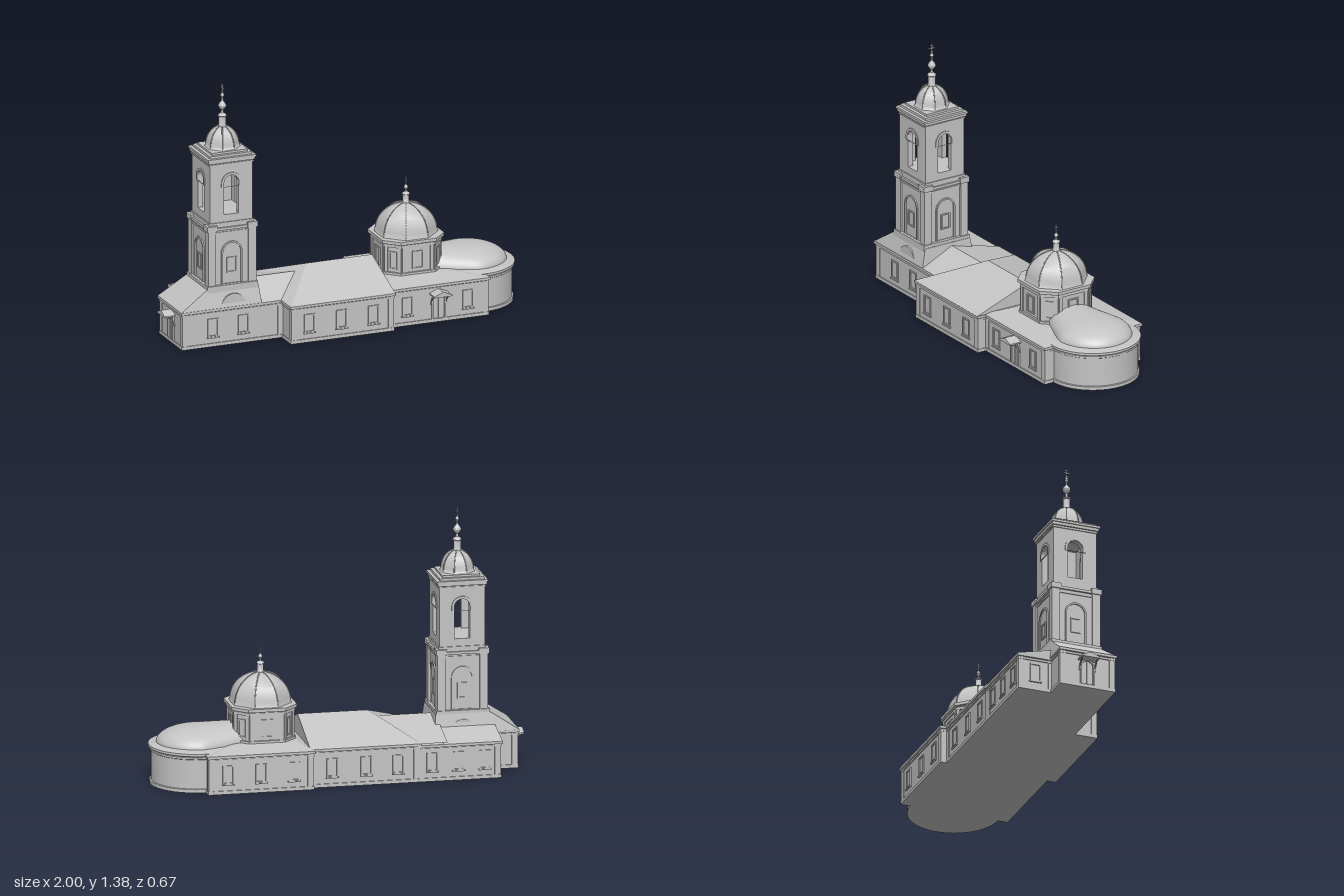
import * as THREE from 'three';
import { toCreasedNormals } from 'three/addons/utils/BufferGeometryUtils.js';
import { ConvexGeometry } from 'three/addons/geometries/ConvexGeometry.js';

export function createModel() {
  const model = new THREE.Group();
  const stone = new THREE.MeshStandardMaterial({ color: 0xc4c4c4 });
  stone.name = 'pale stone';
  stone.side = THREE.DoubleSide;

  const add = (name, geo, parent = model, x = 0, y = 0, z = 0) => {
    const m = new THREE.Mesh(geo, stone);
    m.name = name;
    m.position.set(x, y, z);
    parent.add(m);
    return m;
  };
  const box = (name, x0, x1, y0, y1, z0, z1, parent = model) =>
    add(name, new THREE.BoxGeometry(x1 - x0, y1 - y0, z1 - z0), parent, (x0 + x1) / 2, (y0 + y1) / 2, (z0 + z1) / 2);
  const hull = (name, pts, parent = model) =>
    add(name, new ConvexGeometry(pts.map(p => new THREE.Vector3(...p))), parent);
  const rect = (x0, x1, y, z0, z1) => [[x0, y, z0], [x1, y, z0], [x1, y, z1], [x0, y, z1]];
  const lathe = (name, pts, seg, parent, x, y, z, crease = 0.6) => {
    const g = new THREE.LatheGeometry(pts.map(p => new THREE.Vector2(...p)), seg, Math.PI / seg);
    return add(name, toCreasedNormals(g, crease), parent, x, y, z);
  };
  // Rectangle with an optional round head
  const archPath = (P, w, y0, y1, round) => {
    const p = new P();
    p.moveTo(-w, y0); p.lineTo(w, y0);
    if (round) p.absarc(0, y1 - w, w, 0, Math.PI, false);
    else { p.lineTo(w, y1); p.lineTo(-w, y1); }
    p.closePath();
    return p;
  };
  const extrude = (s, depth) => new THREE.ExtrudeGeometry(s, { depth, bevelEnabled: false, curveSegments: 10 });
  // Raised frame with an opening, standing on the local +z face
  const frame = (name, w, y0, y1, t, d, round, parent) => {
    const s = archPath(THREE.Shape, w + t, y0 - (round ? 0 : t), y1 + t, round);
    s.holes.push(archPath(THREE.Path, w, y0 + (round ? 0.001 : 0), y1, round));
    return add(name, extrude(s, d), parent);
  };
  const spot = (x, z, angle, parent = model) => {
    const g = new THREE.Group();
    g.name = 'facade';
    g.position.set(x, 0, z);
    g.rotation.y = angle;
    parent.add(g);
    return g;
  };
  const windowAt = (x, z, angle) => {
    const g = spot(x, z, angle);
    frame('windowFrame', 0.023, 0.06, 0.145, 0.007, 0.006, false, g);
    box('windowSill', -0.034, 0.034, 0.046, 0.053, 0, 0.009, g);
  };

  // Walls with plinth, cornice and corner pilasters
  const block = (name, x0, x1, z0, z1, h = 0.2) => {
    const g = new THREE.Group();
    g.name = name;
    model.add(g);
    box('walls', x0, x1, 0, h, z0, z1, g);
    [[0, 0.018, 0.006], [h - 0.022, h - 0.012, 0.006], [h - 0.008, h + 0.006, 0.012]].forEach(([a, b, o]) =>
      box(a ? 'cornice' : 'plinth', x0 - o, x1 + o, a, b, z0 - o, z1 + o, g));
    for (const x of [x0, x1]) for (const z of [z0, z1]) {
      const sx = x === x0 ? 0.012 : -0.012, sz = z === z0 ? 0.012 : -0.012;
      const p = box('pilaster', -0.016, 0.016, 0, h, -0.016, 0.016, g);
      p.position.set(x + sx, h / 2, z + sz);
    }
  };
  block('narthex', -0.94, -0.38, -0.11, 0.188);
  block('sideChapel', -0.81, -0.38, -0.29, -0.1, 0.19);
  block('nave', -0.38, 0.19, -0.29, 0.312);
  block('mainChurch', 0.19, 0.74, -0.323, 0.263);

  // Roofs
  hull('narthexRoof', [...rect(-0.952, -0.5, 0.205, -0.122, 0.198), ...rect(-0.8, -0.51, 0.305, -0.105, 0.175)]);
  hull('sideChapelRoof', [...rect(-0.822, -0.51, 0.196, -0.302, -0.1), [-0.822, 0.24, -0.115], [-0.51, 0.24, -0.115]]);
  hull('linkRoof', [...rect(-0.53, -0.2, 0.205, -0.3, 0.198), [-0.53, 0.288, 0.01], [-0.2, 0.288, 0.01]]);
  hull('naveRoof', [...rect(-0.392, 0.198, 0.205, -0.302, 0.325), [-0.17, 0.322, 0.01], [0.198, 0.322, 0.01]]);
  hull('mainRoof', [...rect(0.18, 0.752, 0.205, -0.335, 0.275), ...rect(0.24, 0.58, 0.228, -0.2, 0.14)]);
  const lunette = new THREE.CylinderGeometry(0.07, 0.07, 0.306, 24, 1, false, -Math.PI / 2, Math.PI);
  lunette.rotateX(-Math.PI / 2);
  add('lunette', lunette, model, -0.655, 0.205, 0.04);

  // Apse
  const CZ = -0.03, AX = 0.745;
  lathe('apse', [[0, 0], [0.244, 0], [0.244, 0.018], [0.237, 0.02], [0.237, 0.175], [0.242, 0.178], [0.242, 0.188],
    [0.238, 0.19], [0.251, 0.196], [0.251, 0.209], [0.21, 0.22], [0, 0.225]], 40, model, AX, 0, CZ, 0.4);
  // Half-dome that narrows toward the drum
  const shell = new THREE.PlaneGeometry(1, 1, 24, 24);
  const sp = shell.attributes.position;
  for (let i = 0; i < sp.count; i++) {
    const u = sp.getX(i) + 0.5, a = (sp.getY(i) + 0.5) * Math.PI;
    const x = u < 0.4 ? 0.5 + u * 0.6 : 0.74 + 0.215 * Math.sin((u - 0.4) / 0.6 * Math.PI / 2);
    const t = Math.max(0, (x - 0.74) / 0.215);
    const round = Math.sqrt(Math.max(0, 1 - t * t));
    const w = (0.12 + 0.085 * Math.min(1, (x - 0.5) / 0.24)) * round;
    const h = (0.1 - 0.01 * Math.min(1, (x - 0.5) / 0.24)) * round;
    sp.setXYZ(i, x, 0.216 + h * Math.sin(a), CZ + w * Math.cos(a));
  }
  shell.computeVertexNormals();
  add('apseRoof', shell);

  // Chamfered drum and ribbed dome
  const DX = 0.405;
  const drumSlab = (name, h, c, y0, y1) => {
    const s = new THREE.Shape([[h, c], [c, h], [-c, h], [-h, c], [-h, -c], [-c, -h], [c, -h], [h, -c]]
      .map(p => new THREE.Vector2(...p)));
    const g = extrude(s, y1 - y0);
    g.rotateX(-Math.PI / 2);
    return add(name, g, model, DX, y0, CZ);
  };
  drumSlab('drumBase', 0.168, 0.097, 0.21, 0.24);
  drumSlab('drum', 0.157, 0.09, 0.21, 0.4);
  drumSlab('drumFrieze', 0.163, 0.094, 0.375, 0.39);
  drumSlab('drumCornice', 0.173, 0.1, 0.395, 0.412);
  for (let i = 0; i < 8; i++) {
    const a = i * Math.PI / 4, r = i % 2 ? 0.1747 : 0.157, edge = i % 2 ? 0.038 : 0.078;
    const g = spot(DX + r * Math.sin(a), CZ + r * Math.cos(a), a);
    frame('drumWindow', i % 2 ? 0.015 : 0.024, 0.262, 0.345, 0.007, 0.006, false, g);
    for (const s of [-1, 1]) box('drumPilaster', s * edge - 0.009, s * edge + 0.009, 0.24, 0.376, -0.01, 0.006, g);
  }
  const domeProfile = (r, h, flare) => {
    const k = 1 / Math.cos(Math.PI / 8), pts = [[(r + flare) * k, 0], [(r + flare * 0.3) * k, h * 0.06]];
    for (let i = 1; i <= 12; i++) {
      const a = i / 12 * Math.PI / 2;
      pts.push([Math.max(0, r * k * Math.cos(a)), h * (0.06 + 0.94 * Math.sin(a))]);
    }
    return pts;
  };
  const ribs = (r, h, x, y, z) => {
    for (let i = 0; i < 8; i++) {
      const a = Math.PI / 8 + i * Math.PI / 4;
      const pts = domeProfile(r, h, 0).slice(1).map(([q, v]) => new THREE.Vector3(q * Math.sin(a), v, q * Math.cos(a)));
      add('domeRib', new THREE.TubeGeometry(new THREE.CatmullRomCurve3(pts), 16, 0.003, 5), model, x, y, z);
    }
  };
  lathe('mainDome', domeProfile(0.148, 0.16, 0.006), 8, model, DX, 0.411, CZ);
  ribs(0.148, 0.16, DX, 0.411, CZ);

  // Neck, bulbs and cross
  const finial = (name, pts, x, y, z, top, s) => {
    lathe(name, pts, 16, model, x, y, z, 0.7);
    const t = 0.0025 * s;
    box('crossPost', x - t, x + t, top - 0.065 * s, top, z - t, z + t);
    box('crossArm', x - t, x + t, top - 0.027 * s, top - 0.021 * s, z - 0.018 * s, z + 0.018 * s);
    box('crossTopArm', x - t, x + t, top - 0.013 * s, top - 0.009 * s, z - 0.009 * s, z + 0.009 * s);
    box('crossFoot', x - t, x + t, top - 0.046 * s, top - 0.041 * s, z - 0.009 * s, z + 0.009 * s);
  };
  finial('mainFinial', [[0.024, -0.01], [0.02, 0.005], [0.017, 0.01], [0.017, 0.045], [0.021, 0.048], [0.019, 0.054],
    [0.006, 0.062], [0.005, 0.07], [0.012, 0.082], [0.009, 0.092], [0.003, 0.1], [0, 0.11]], DX, 0.567, CZ, 0.71, 0.7);

  // Bell tower
  const TX = -0.655, TZ = 0.037;
  const slab = (name, h, y0, y1) => box(name, TX - h, TX + h, y0, y1, TZ - h, TZ + h);
  slab('towerFoot', 0.142, 0.2, 0.322);
  slab('lowerTier', 0.125, 0.32, 0.63);
  slab('lowerFrieze', 0.13, 0.6, 0.61);
  slab('lowerCornice', 0.136, 0.62, 0.634);
  slab('upperFoot', 0.126, 0.634, 0.66);
  slab('belfryFloor', 0.115, 0.66, 0.7);
  slab('belfryCeiling', 0.115, 0.95, 0.985);
  slab('upperFrieze', 0.125, 0.972, 0.98);
  slab('upperCornice', 0.129, 0.985, 1.0);
  slab('upperCorniceEdge', 0.135, 1.0, 1.012);
  slab('domeStep', 0.118, 1.012, 1.025);
  slab('domeSeat', 0.1, 1.025, 1.036);
  for (const sx of [-1, 1]) for (const sz of [-1, 1]) {
    const x = TX + sx * 0.113, z = TZ + sz * 0.113;
    box('cornerPier', x - 0.022, x + 0.022, 0.32, 0.62, z - 0.022, z + 0.022);
    box('cornerCap', x - 0.028, x + 0.028, 0.618, 0.648, z - 0.028, z + 0.028);
  }
  for (let i = 0; i < 4; i++) {
    const g = spot(TX, TZ, i * Math.PI / 2);
    // Belfry wall with its arched opening
    const wall = new THREE.Shape([[-0.12, 0.65], [0.12, 0.65], [0.12, 0.99], [-0.12, 0.99]].map(p => new THREE.Vector2(...p)));
    wall.holes.push(archPath(THREE.Path, 0.041, 0.7, 0.912, true));
    add('belfryWall', extrude(wall, 0.03), g, 0, 0, 0.09);
    frame('belfryArch', 0.042, 0.85, 0.913, 0.014, 0.005, true, g).position.z = 0.12;
    // Blind arch and small window on the lower tier
    frame('blindArch', 0.05, 0.325, 0.545, 0.009, 0.007, true, g).position.z = 0.125;
    frame('towerWindow', 0.021, 0.39, 0.46, 0.007, 0.006, false, g).position.z = 0.125;
  }
  lathe('towerDome', domeProfile(0.08, 0.115, 0.009), 8, model, TX, 1.034, TZ);
  ribs(0.08, 0.115, TX, 1.034, TZ);
  finial('towerFinial', [[0.025, -0.008], [0.019, 0.006], [0.019, 0.05], [0.024, 0.054], [0.022, 0.06], [0.008, 0.07],
    [0.007, 0.085], [0.02, 0.102], [0.022, 0.11], [0.016, 0.122], [0.006, 0.135], [0.005, 0.152], [0.011, 0.163],
    [0.008, 0.172], [0, 0.185]], TX, 1.147, TZ, 1.375, 1);

  // Windows along the long walls and the west front
  const row = (xs, z, angle) => xs.forEach(x => windowAt(x, z, angle));
  row([-0.77, -0.6], 0.188, 0);
  row([-0.28, -0.1, 0.08], 0.312, 0);
  row([0.29, 0.63], 0.263, 0);
  row([-0.73, -0.59, -0.45, -0.27, -0.1, 0.08], -0.29, Math.PI);
  row([0.29, 0.465, 0.64], -0.323, Math.PI);
  windowAt(-0.81, -0.2, -Math.PI / 2);

  // Gabled door canopies on brackets
  const porch = (x, z, angle, d) => {
    const g = spot(x, z, angle);
    g.name = 'porch';
    frame('doorFrame', 0.032, 0.018, 0.15, 0.008, 0.008, true, g);
    box('doorSeam', -0.002, 0.002, 0.018, 0.145, 0, 0.005, g);
    hull('canopy', [...rect(-0.05, 0.05, 0.152, 0, d), ...rect(-0.05, 0.05, 0.159, 0, d), [0, 0.18, 0], [0, 0.18, d]], g);
    for (const s of [-0.042, 0.042]) {
      const b = new THREE.QuadraticBezierCurve3(new THREE.Vector3(s, 0.095, 0), new THREE.Vector3(s, 0.14, 0.008),
        new THREE.Vector3(s, 0.153, d * 0.85));
      add('bracket', new THREE.TubeGeometry(b, 10, 0.004, 6), g);
    }
  };
  porch(0.465, 0.263, 0, 0.068);
  porch(-0.94, 0.037, -Math.PI / 2, 0.06);

  return model;
}
